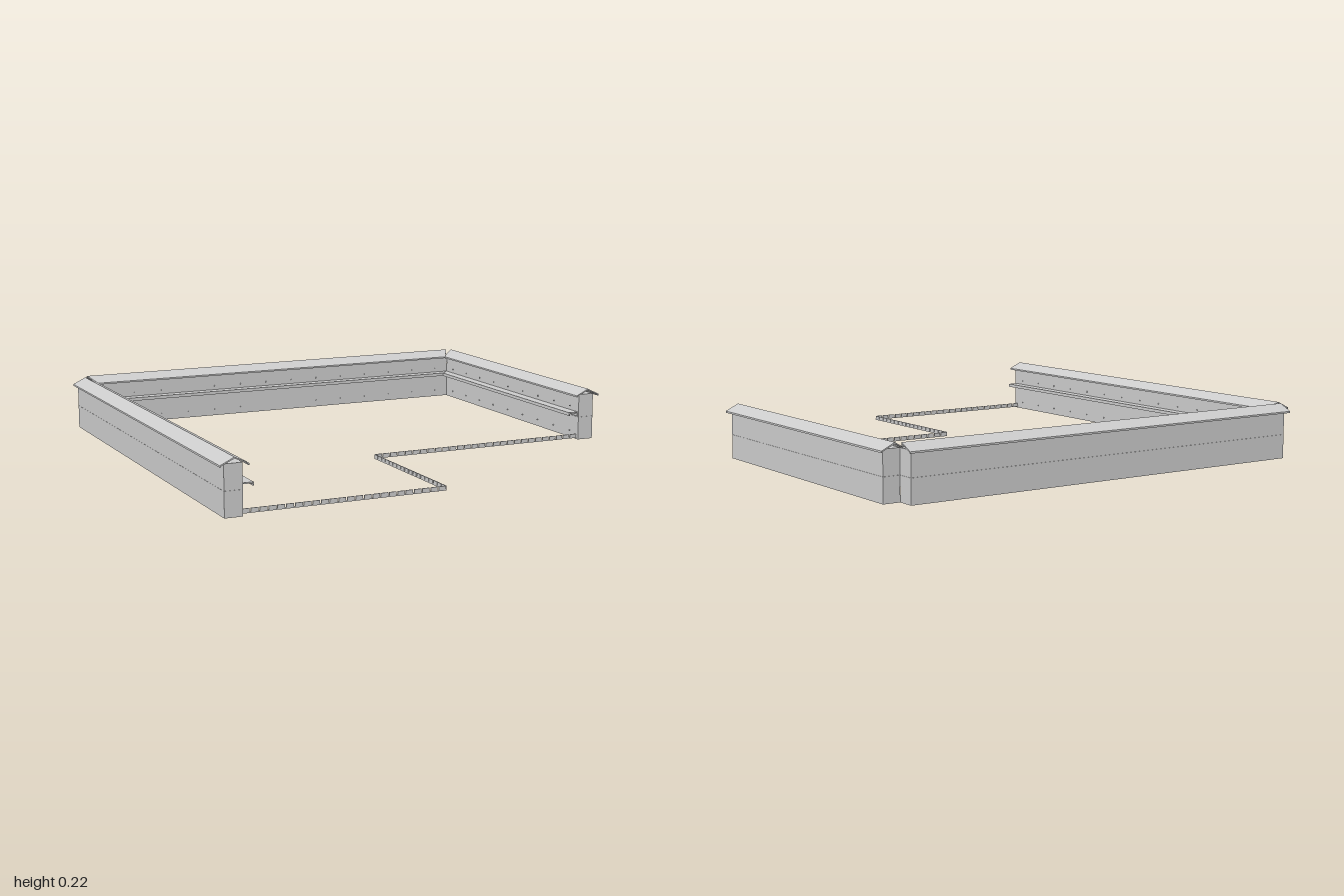
import * as THREE from 'three';

const grey = () => new THREE.MeshStandardMaterial({ color: 0xcccccc, flatShading: true, side: THREE.DoubleSide });
const HALF = 0.036; // half thickness of a wall

function add(parent, name, geometry, x = 0, y = 0, z = 0) {
  const mesh = new THREE.Mesh(geometry, grey());
  mesh.name = name;
  mesh.position.set(x, y, z);
  parent.add(mesh);
  return mesh;
}

// Extrudes a section (x inward, y up) from z = lo to hi; mitred ends slope back as x grows
function strip(points, lo, hi, mitreLo, mitreHi, from, slope) {
  const shape = new THREE.Shape(points.map(([x, y]) => new THREE.Vector2(x, y)));
  const g = new THREE.ExtrudeGeometry(shape, { depth: hi - lo, bevelEnabled: false }).translate(0, 0, lo);
  const p = g.attributes.position, mid = (lo + hi) / 2;
  for (let i = 0; i < p.count; i++) {
    const shift = Math.max(0, p.getX(i) - from) * slope, z = p.getZ(i);
    if (z < mid && mitreLo) p.setZ(i, z + shift);
    if (z > mid && mitreHi) p.setZ(i, z - shift);
  }
  g.computeVertexNormals();
  return g;
}

const capSection = [
  [-0.056, 0.191], [-0.056, 0.198], [0, 0.225], [0.056, 0.198], [0.056, 0.191],
  [0.052, 0.191], [0.052, 0.195], [0, 0.219], [-0.052, 0.195], [-0.052, 0.191],
];
const ledgeSection = [
  [HALF, 0.104], [HALF, 0.122], [0.081, 0.122], [0.081, 0.108], [0.077, 0.108],
  [0.077, 0.117], [HALF + 0.004, 0.117], [HALF + 0.004, 0.104],
];

// One wall run: two stacked boards, ridged cap, inner ledge and rows of bolts
function makeWall(name, { wall, cap, ledge, mitre }) {
  const group = new THREE.Group();
  group.name = name;
  const [lo, hi] = wall, length = hi - lo, mid = (lo + hi) / 2;
  for (const [board, y] of [['lowerBoard', 0.05], ['upperBoard', 0.15]])
    add(group, board, new THREE.BoxGeometry(HALF * 2, 0.0995, length), 0, y, mid);
  add(group, 'cap', strip(capSection, ...cap, ...mitre, 0, 0.6));
  add(group, 'ledge', strip(ledgeSection, ...ledge, ...mitre, HALF, 1));

  const bolt = new THREE.CylinderGeometry(0.003, 0.003, 0.004, 6).rotateZ(Math.PI / 2);
  const count = Math.round(length / 0.13);
  for (let i = 0; i < count; i++)
    for (const y of [0.03, 0.14])
      add(group, 'bolt', bolt, HALF + 0.002, y, lo + (i + 0.5) * length / count);
  return group;
}

// Low edging made of short upright strips between two ground points
function makeEdging(name, [x0, z0], [x1, z1]) {
  const group = new THREE.Group();
  group.name = name;
  const length = Math.hypot(x1 - x0, z1 - z0), count = Math.round(length / 0.035), pitch = length / count;
  const piece = new THREE.BoxGeometry(pitch * 0.85, 0.018, 0.004);
  const link = new THREE.BoxGeometry(length, 0.005, 0.003);
  for (let i = 0; i < count; i++) add(group, 'edgingPiece', piece, (i + 0.5) * pitch, 0.014, 0);
  add(group, 'edgingRail', link, length / 2, 0.0075, 0);
  group.position.set(x0, 0, z0);
  group.rotation.y = -Math.atan2(z1 - z0, x1 - x0);
  return group;
}

export function createModel() {
  const model = new THREE.Group();
  model.name = 'gardenEnclosure';

  // Long wall on the -x side
  const right = makeWall('longSideWall', {
    wall: [-0.88, 0.952], cap: [-0.885, 0.967], ledge: [-0.88, 0.945], mitre: [true, false],
  });
  right.position.x = -0.945;

  // Short wall on the +x side
  const left = makeWall('shortSideWall', {
    wall: [-0.325, 0.88], cap: [-0.34, 0.905], ledge: [-0.32, 0.88], mitre: [false, true],
  });
  left.position.x = 0.945;
  left.rotation.y = Math.PI;

  // Back wall
  const back = makeWall('backWall', {
    wall: [-0.91, 0.91], cap: [-0.925, 0.925], ledge: [-0.91, 0.91], mitre: [true, true],
  });
  back.position.z = -0.918;
  back.rotation.y = -Math.PI / 2;
  model.add(right, left, back);

  // Stepped edging across the open front
  const path = [[-0.909, 0.93], [-0.072, 0.93], [-0.072, 0.31], [0.909, 0.31]];
  for (let i = 0; i < 3; i++) model.add(makeEdging('frontEdging', path[i], path[i + 1]));
  return model;
}
